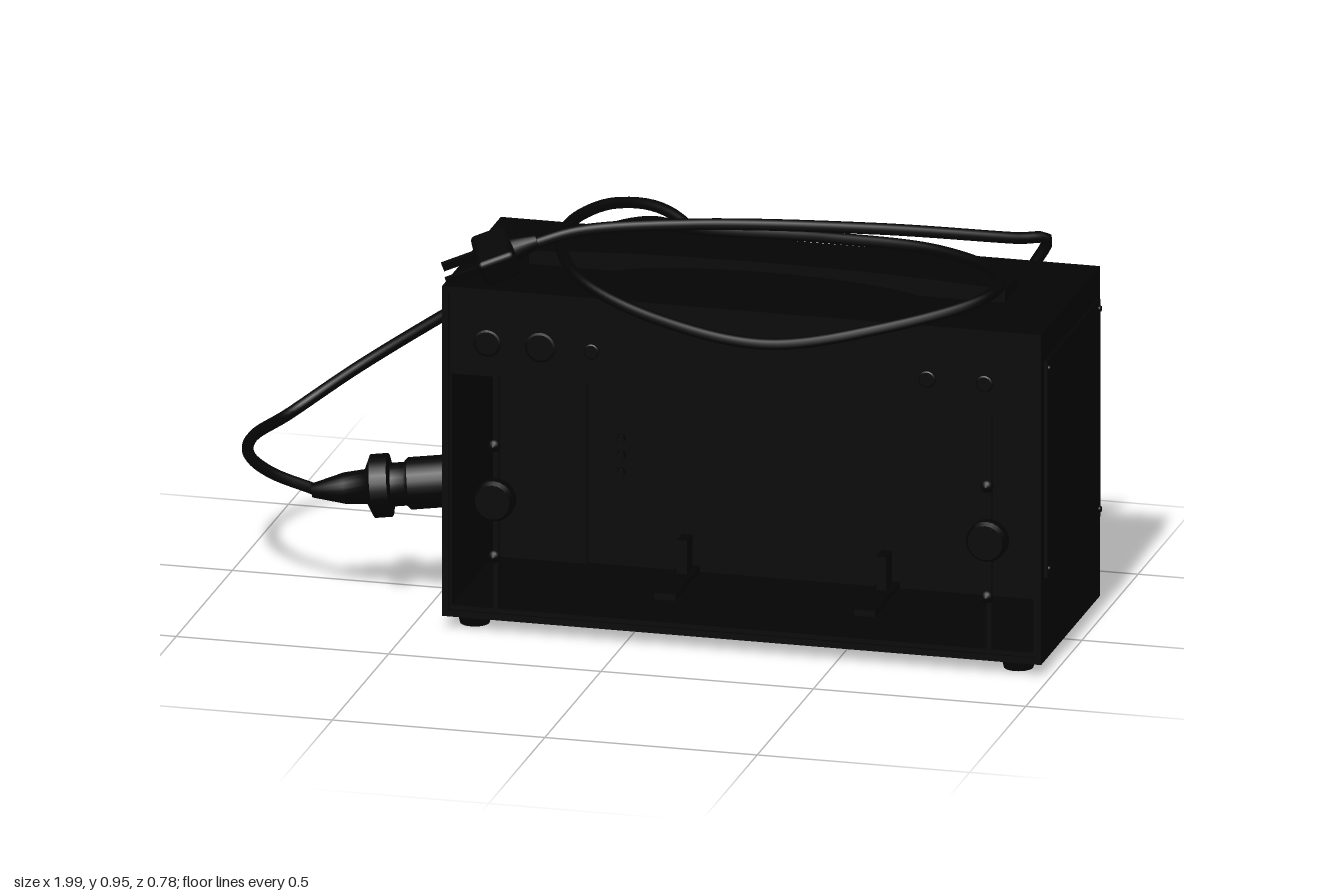
import * as THREE from 'three';
import { RoundedBoxGeometry } from 'three/addons/geometries/RoundedBoxGeometry.js';

const black = new THREE.MeshStandardMaterial({ color: 0x040404 });
black.name = 'black';

const v = (a) => new THREE.Vector3(...a);

export function createModel() {
  const root = new THREE.Group();
  const add = (name, geo, pos = [0, 0, 0], parent = root) => {
    const m = new THREE.Mesh(geo, black);
    m.name = name;
    m.position.set(...pos);
    parent.add(m);
    return m;
  };
  // box given by its lower and upper corners
  const box = (name, a, b, parent) => add(name,
    new THREE.BoxGeometry(b[0] - a[0], b[1] - a[1], b[2] - a[2]),
    [0, 1, 2].map((i) => (a[i] + b[i]) / 2), parent);
  // turned part: profile of [radius, height], its axis pointed along dir
  const turned = (name, profile, pos, dir, sides = 24) => {
    const m = add(name, new THREE.LatheGeometry(profile.map((p) => new THREE.Vector2(...p)), sides), pos);
    m.quaternion.setFromUnitVectors(new THREE.Vector3(0, 1, 0), v(dir).normalize());
    return m;
  };
  const disc = (name, r, h, pos, dir) => turned(name,
    [[0.0001, 0], [r, 0], [r, 0], [r, h * 0.7], [r, h * 0.7], [r * 0.85, h], [r * 0.85, h], [0.0001, h]], pos, dir, 20);

  // case: back block with top, floor and side walls around the wide open bay
  const body = new THREE.Group();
  body.name = 'case';
  root.add(body);
  const bayZ = -0.1;
  box('caseBack', [-0.43, 0.03, -0.235], [0.98, 0.82, bayZ], body);
  box('caseTop', [-0.43, 0.61, bayZ], [0.98, 0.82, 0.28], body);
  box('caseFloor', [-0.43, 0.03, bayZ], [0.98, 0.055, 0.28], body);
  box('rightWall', [-0.43, 0.055, bayZ], [-0.41, 0.61, 0.28], body);
  box('leftWall', [0.96, 0.055, bayZ], [0.98, 0.61, 0.28], body);

  // thin front rim
  box('rimTop', [-0.43, 0.808, 0.28], [0.98, 0.82, 0.288], body);
  box('rimBottom', [-0.43, 0.03, 0.28], [0.98, 0.045, 0.288], body);
  for (const x of [-0.43, 0.965]) box('rimSide', [x, 0.045, 0.28], [x + 0.015, 0.808, 0.288], body);

  // side access plate
  box('sidePlate', [0.98, 0.23, -0.21], [0.988, 0.75, 0.26]);
  for (const y of [0.25, 0.73]) for (const z of [-0.2, 0.25])
    disc('sideScrew', 0.007, 0.005, [0.988, y, z], [1, 0, 0]);
  for (const y of [0.58, 0.67, 0.76]) disc('portScrew', 0.013, 0.007, [-0.43, y, 0.2], [-1, 0, 0]);

  // fittings inside the bay
  box('bayPanel', [-0.41, 0.055, bayZ], [-0.19, 0.61, bayZ + 0.01]);
  for (const x of [0.05, 0.52]) {
    box('lowerBracket', [x - 0.025, 0.055, bayZ], [x + 0.025, 0.07, 0.12]);
    box('lowerBracketFin', [x - 0.012, 0.07, -0.08], [x + 0.012, 0.15, -0.03]);
    box('upperBracket', [x - 0.025, 0.51, bayZ], [x + 0.025, 0.575, -0.06]);
  }
  box('bayRail', [-0.19, 0.52, bayZ], [0.7, 0.535, bayZ + 0.015]);
  for (const y of [0.28, 0.32, 0.36]) disc('bayStud', 0.01, 0.012, [-0.11, y, bayZ], [0, 0, 1]);

  // control knobs and studs at the front, each set on a slim upright
  for (const x of [-0.305, 0.855]) {
    box('upright', [x - 0.006, 0.055, 0.272], [x + 0.006, 0.61, 0.28]);
    disc('frontKnob', 0.048, 0.035, [x, 0.32, 0.28], [0, 0, 1]);
    for (const y of [0.185, 0.45])
      turned('frontStud', [[0.008, 0], [0.015, 0.016], [0.012, 0.027], [0.0001, 0.031]], [x, y, 0.28], [0, 0, 1], 16);
  }
  for (const [x, r] of [[-0.325, 0.032], [-0.2, 0.036], [-0.08, 0.018], [0.71, 0.02], [0.845, 0.02]])
    disc('panelButton', r, 0.006, [x, 0.69, 0.28], [0, 0, 1]);

  // feet, bottom screws and back screws
  for (const x of [-0.37, 0.91]) {
    for (const z of [0.223, -0.165])
      turned('foot', [[0.0001, 0], [0.034, 0], [0.034, 0], [0.041, 0.031]], [x, 0, z], [0, 1, 0]);
    for (const y of [0.1, 0.76]) disc('backScrew', 0.014, 0.0015, [x, y, -0.235], [0, 0, -1]);
  }
  for (const z of [0.12, 0.03]) disc('bottomScrew', 0.015, 0.006, [0.3, 0.03, z], [0, -1, 0]);

  // flat strap handle on the lid
  const strap = new THREE.Shape();
  strap.moveTo(-0.28, 0.82);
  strap.lineTo(-0.28, 0.85);
  strap.bezierCurveTo(0, 0.875, 0.56, 0.875, 0.84, 0.85);
  strap.lineTo(0.84, 0.82);
  strap.lineTo(0.64, 0.82);
  strap.bezierCurveTo(0.5, 0.855, 0.06, 0.855, -0.08, 0.82);
  add('handle', new THREE.ExtrudeGeometry(strap, { depth: 0.11, bevelEnabled: false, curveSegments: 16 }), [0, 0, -0.03]);

  // cable connector on the side, with stepped rings
  turned('connector', [[0.0001, 0], [0.075, 0], [0.075, 0], [0.075, 0.03], [0.075, 0.03], [0.06, 0.03], [0.06, 0.03],
    [0.06, 0.12], [0.06, 0.12], [0.05, 0.13], [0.05, 0.16], [0.05, 0.16], [0.073, 0.165], [0.073, 0.165],
    [0.073, 0.205], [0.073, 0.205], [0.04, 0.22], [0.036, 0.27], [0.016, 0.345], [0.0001, 0.345]],
  [-0.43, 0.3, 0.11], [-1, -0.11, 0.16]);
  // socket cover beside it
  turned('socketCover', [[0.0001, 0], [0.035, 0], [0.04, 0.025], [0.066, 0.03], [0.066, 0.03], [0.066, 0.09],
    [0.05, 0.12], [0.0001, 0.122]], [-0.43, 0.225, -0.195], [-1, -0.42, -0.4]);
  // ring of the lower socket
  disc('lowerSocket', 0.05, 0.02, [-0.43, 0.17, 0.12], [-1, 0, 0]);

  // long cable: up behind the case, round the lid, down the back and on to the plug
  const path = [
    [-0.76, 0.265, 0.163], [-0.88, 0.275, 0.1], [-0.96, 0.28, 0.0], [-0.985, 0.282, -0.13], [-0.94, 0.292, -0.28],
    [-0.8, 0.39, -0.355], [-0.58, 0.54, -0.379], [-0.3, 0.73, -0.345], [-0.1, 0.825, -0.27], [0.03, 0.84, -0.2],
    [0.35, 0.865, -0.145], [0.65, 0.88, -0.07], [0.83, 0.88, 0.08], [0.82, 0.865, 0.2], [0.62, 0.82, 0.33],
    [0.36, 0.775, 0.378], [0.1, 0.8, 0.345], [-0.1, 0.845, 0.26], [-0.2, 0.875, 0.1], [-0.215, 0.88, -0.1],
    [-0.15, 0.882, -0.22], [-0.05, 0.845, -0.295], [0.15, 0.65, -0.32], [0.4, 0.5, -0.296], [0.57, 0.49, -0.275],
    [0.72, 0.63, -0.272], [0.81, 0.79, -0.272], [0.848, 0.865, -0.264], [0.79, 0.876, -0.22],
    [0.5, 0.915, -0.09], [0.1, 0.935, 0.045], [-0.15, 0.925, 0.13], [-0.25, 0.9, 0.18],
  ].map(v);
  add('cable', new THREE.TubeGeometry(new THREE.CatmullRomCurve3(path), 360, 0.0135, 10));

  // mains plug lying on the lid
  const plug = new THREE.Group();
  plug.name = 'plug';
  plug.position.set(-0.325, 0.875, 0.205);
  plug.rotation.set(0.3, 0.3, 0.35, 'YZX');
  root.add(plug);
  add('plugBody', new RoundedBoxGeometry(0.09, 0.068, 0.125, 2, 0.012), [0, 0, 0], plug);
  const neck = add('plugNeck', new THREE.CylinderGeometry(0.016, 0.03, 0.06, 16), [0.07, 0, 0], plug);
  neck.rotation.z = -Math.PI / 2;
  for (const z of [-0.03, 0.03]) box('plugPin', [-0.125, -0.01, z - 0.005], [-0.045, 0.01, z + 0.005], plug);

  return root;
}
